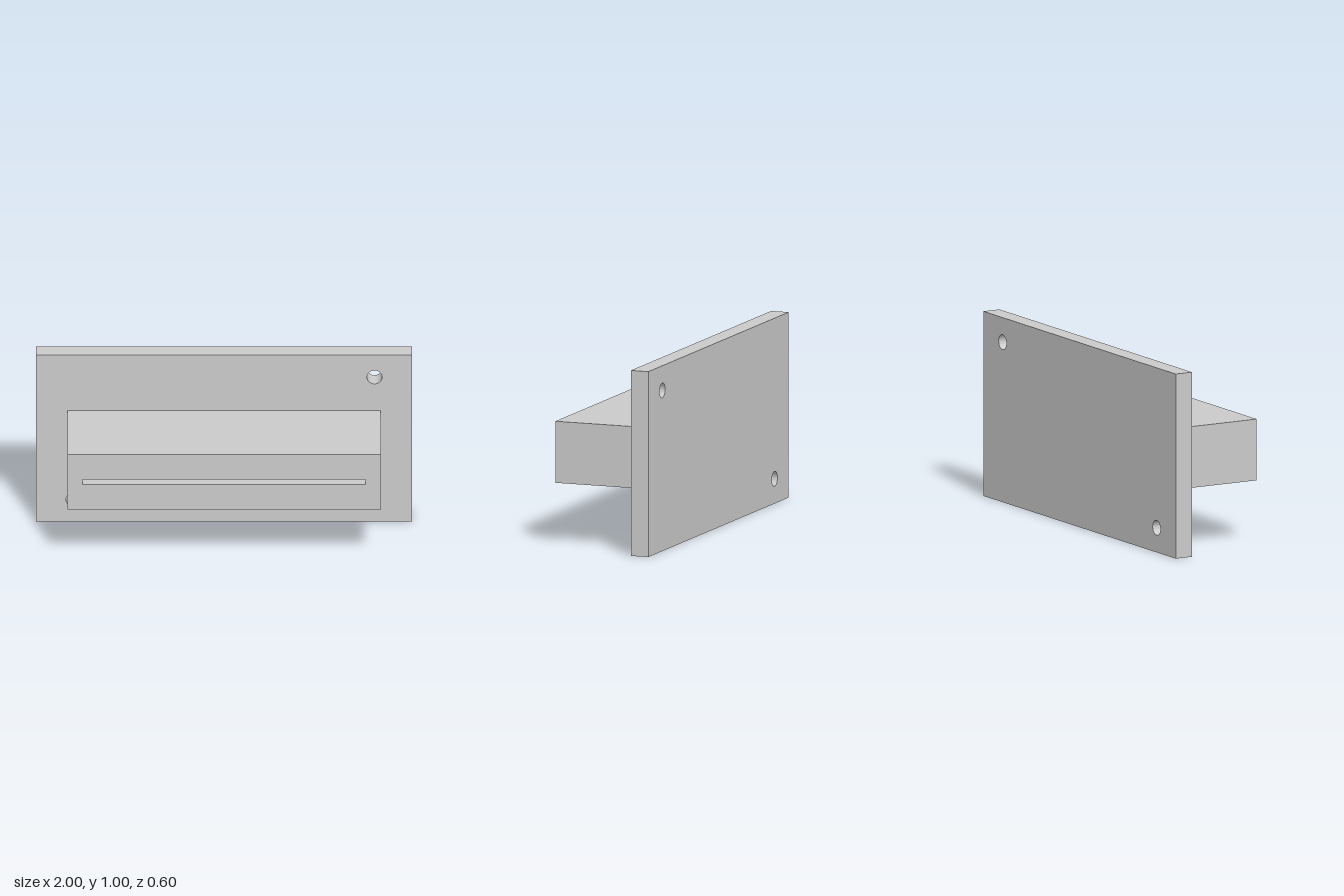
import * as THREE from 'three';
import { toCreasedNormals } from 'three/addons/utils/BufferGeometryUtils.js';

const material = new THREE.MeshStandardMaterial({ color: 0xcccccc });

// Closed rectangular path from its edges
function rectangle(PathType, x0, y0, x1, y1) {
  return new PathType([
    new THREE.Vector2(x0, y0), new THREE.Vector2(x1, y0),
    new THREE.Vector2(x1, y1), new THREE.Vector2(x0, y1),
  ]);
}

// Extrudes an outline with holes from z0 to z1
function slab(name, shape, z0, z1) {
  const geometry = new THREE.ExtrudeGeometry(shape, {
    depth: z1 - z0, bevelEnabled: false, curveSegments: 32,
  });
  geometry.translate(0, 0, z0);
  const mesh = new THREE.Mesh(toCreasedNormals(geometry, 0.6), material);
  mesh.name = name;
  return mesh;
}

export function createModel() {
  const model = new THREE.Group();
  model.name = 'slottedMountingPlate';

  // Back plate with two diagonally opposed screw holes
  const plate = rectangle(THREE.Shape, -1, 0, 1, 1);
  for (const side of [-1, 1]) {
    const hole = new THREE.Path();
    hole.absarc(side * 0.8, 0.5 + side * 0.367, 0.04, 0, Math.PI * 2, true);
    plate.holes.push(hole);
  }
  model.add(slab('backPlate', plate, -0.3, -0.2));

  // Front block with a long narrow slot, closed behind by the plate
  const block = rectangle(THREE.Shape, -0.833, 0.335, 0.833, 0.667);
  block.holes.push(rectangle(THREE.Path, -0.753, 0.487, 0.753, 0.517));
  model.add(slab('slottedBlock', block, -0.2, 0.3));

  return model;
}
